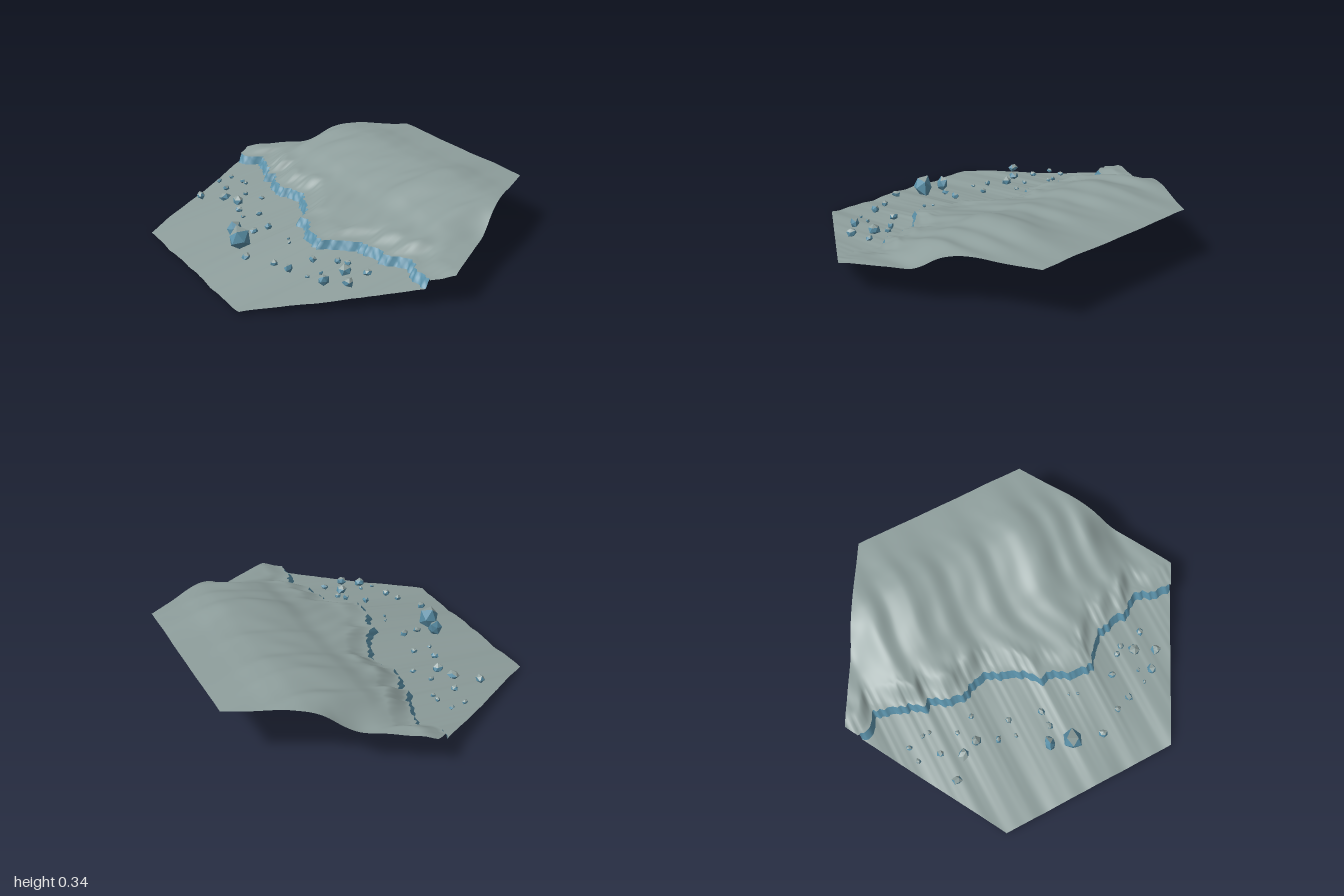
import * as THREE from 'three';

const stone = new THREE.MeshStandardMaterial({ color: 0x8e9e9c, side: THREE.DoubleSide });
stone.name = 'grey stone';
const ice = new THREE.MeshStandardMaterial({ color: 0x5a90a8, side: THREE.DoubleSide });
ice.name = 'blue cliff';

const { clamp, lerp, smoothstep } = THREE.MathUtils;

// Value at t of a list of [t, value] points, linear or as a smooth curve
function sample(points, t, smooth) {
  let i = 0;
  while (i < points.length - 2 && t > points[i + 1][0]) i++;
  const [t0, a] = points[i], [t1, b] = points[i + 1];
  const k = clamp((t - t0) / (t1 - t0), 0, 1);
  if (!smooth) return lerp(a, b, k);
  const slope = (j) => {
    const p = points[Math.max(j - 1, 0)], q = points[Math.min(j + 1, points.length - 1)];
    return (q[1] - p[1]) / (q[0] - p[0]);
  };
  const m0 = slope(i) * (t1 - t0), m1 = slope(i + 1) * (t1 - t0), k2 = k * k, k3 = k2 * k;
  return (2 * k3 - 3 * k2 + 1) * a + (k3 - 2 * k2 + k) * m0 + (3 * k2 - 2 * k3) * b + (k3 - k2) * m1;
}

// Cliff line seen from above: [z, x]
const cliffLine = [
  [-1, -0.09], [-0.95, -0.09], [-0.88, -0.07], [-0.83, 0.0], [-0.74, -0.03], [-0.65, -0.06],
  [-0.58, -0.105], [-0.55, -0.075], [-0.45, -0.13], [-0.37, -0.14], [-0.28, -0.1], [-0.23, -0.085],
  [-0.13, -0.13], [-0.02, -0.18], [0.035, -0.265], [0.08, -0.238], [0.2, -0.305], [0.32, -0.31],
  [0.385, -0.22], [0.45, -0.165], [0.51, -0.15], [0.58, -0.13], [0.635, -0.14], [0.725, -0.06],
  [0.82, -0.105], [0.93, -0.115], [1, -0.115],
];
// Hill profiles [x, y] across the middle and near the two points of the hexagon
const middleHill = [[-0.35, 0.15], [-0.2, 0.168], [0, 0.205], [0.1, 0.225], [0.2, 0.262], [0.35, 0.3],
  [0.5, 0.32], [0.6, 0.317], [0.7, 0.307], [0.87, 0.298]];
const endHill = [[-0.35, 0.15], [-0.1, 0.165], [0, 0.178], [0.1, 0.19], [0.2, 0.198], [0.3, 0.206],
  [0.38, 0.235], [0.46, 0.28], [0.55, 0.302], [0.87, 0.298]];
// Ridges running down the hill: [z, strength], and their strength along x
const ridges = [[-1, 0], [-0.75, -0.2], [-0.61, 0.1], [-0.53, -0.3], [-0.42, 0.6], [-0.35, 0.2],
  [-0.26, 0.1], [-0.16, -0.5], [0.01, -0.2], [0.1, -0.5], [0.2, 0.1], [0.32, 1], [0.42, 0.1],
  [0.49, 0.1], [0.57, -0.4], [0.65, -0.2], [0.74, -0.3], [1, 0]];
const ridgeReach = [[-0.2, 0], [0.02, 0.012], [0.25, 0.028], [0.5, 0.028], [0.7, 0.012], [0.87, 0.004]];
// Uneven knolls just behind the cliff: [z, strength]
const knolls = [[-1, 0], [-0.9, 0.7], [-0.82, -0.6], [-0.6, 0.8], [-0.52, -0.8], [-0.41, 0.7],
  [-0.34, -0.6], [-0.27, 0.8], [-0.18, -0.8], [0, 0.5], [0.1, -0.5], [0.31, 1], [0.42, -1],
  [0.53, 0.7], [0.6, -0.6], [0.67, 0.8], [0.75, -0.9], [0.88, 0.3], [1, 0]];

const halfWidth = (z) => Math.min(0.866, (1 - Math.abs(z)) * 1.732);
const cliffX = (z) => sample(cliffLine, z) + 0.009 * Math.sin(z * 95) * Math.sin(z * 37 + 1)
  + 0.004 * Math.sin(z * 171);
const footX = (z) => Math.max(cliffX(z) - 0.015, -halfWidth(z));
const topX = (z) => clamp(cliffX(z) + 0.015, -halfWidth(z), halfWidth(z));

// The lower ground climbs evenly to the foot of the cliff
function lowerY(x, z) {
  const climb = Math.min((x + 0.866) / (cliffX(z) + 0.851), 1);
  const waves = 0.004 * Math.cos(z * 11.5) + 0.003 * Math.sin(z * 27 + x) + 0.0015 * Math.sin(z * 52);
  return 0.013 + climb * 0.096 + waves * (1 - 0.75 * climb);
}

function upperY(x, z) {
  const d = x - cliffX(z) - 0.015;
  const rimY = lowerY(topX(z), z) + 0.044;
  const hill = lerp(sample(middleHill, x, true), sample(endHill, x, true), smoothstep(Math.abs(z), 0.62, 0.82))
    + sample(ridges, z + 0.015 * Math.sin(x * 9), true) * sample(ridgeReach, x, true);
  const folds = 0.0035 * Math.sin(z * 37 + 2 * Math.sin(x * 9)) * Math.sin(x * 8 + z * 13)
    * smoothstep(d, 0.05, 0.2) * smoothstep(0.8 - x, 0, 0.4);
  const lip = 0.012 * sample(knolls, z - 0.25 * (d - 0.08), true) * Math.exp(-(((d - 0.09) / 0.06) ** 2));
  return lerp(rimY, hill, smoothstep(d, -0.02, 0.13)) + folds + lip * smoothstep(d, 0, 0.04);
}

// Sheet of rows along z; point(u, z) returns [x, y]
function sheet(name, material, firstRow, lastRow, columns, point) {
  const positions = [], index = [], w = columns + 1;
  for (let r = firstRow; r <= lastRow; r++) {
    const z = -1 + r * 0.01;
    for (let c = 0; c <= columns; c++) {
      const [x, y] = point(c / columns, z);
      positions.push(x, y, z);
      if (r < lastRow && c < columns) {
        const a = (r - firstRow) * w + c;
        index.push(a, a + w, a + 1, a + 1, a + w, a + w + 1);
      }
    }
  }
  const geometry = new THREE.BufferGeometry();
  geometry.setAttribute('position', new THREE.Float32BufferAttribute(positions, 3));
  geometry.setIndex(index);
  geometry.computeVertexNormals();
  const mesh = new THREE.Mesh(geometry, material);
  mesh.name = name;
  return mesh;
}

// Rocks: [x, z, radius]
const rocks = [
  [-0.33, -0.74, 0.015], [-0.245, -0.75, 0.015], [-0.22, -0.66, 0.014], [-0.22, -0.62, 0.013],
  [-0.35, -0.62, 0.019], [-0.515, -0.605, 0.026], [-0.41, -0.515, 0.029], [-0.29, -0.49, 0.014],
  [-0.375, -0.425, 0.029], [-0.245, -0.385, 0.015], [-0.425, -0.315, 0.019], [-0.45, -0.222, 0.012],
  [-0.355, -0.217, 0.018], [-0.57, -0.085, 0.036], [-0.485, -0.04, 0.019], [-0.4, -0.04, 0.021],
  [-0.613, 0.027, 0.055], [-0.38, 0.135, 0.009], [-0.402, 0.18, 0.01], [-0.655, 0.19, 0.023],
  [-0.577, 0.325, 0.019], [-0.545, 0.41, 0.023], [-0.397, 0.395, 0.021], [-0.307, 0.48, 0.019],
  [-0.275, 0.52, 0.018], [-0.323, 0.575, 0.032], [-0.44, 0.535, 0.012], [-0.513, 0.53, 0.011],
  [-0.47, 0.6, 0.028], [-0.38, 0.68, 0.028], [-0.254, 0.655, 0.02],
];

// Chipped stone with grey upper faces and blue flanks
function makeRock([x, z, radius], n) {
  const geometry = new THREE.IcosahedronGeometry(1.06, 0);
  const p = geometry.attributes.position, v = new THREE.Vector3();
  for (let i = 0; i < p.count; i++) {
    v.fromBufferAttribute(p, i);
    const chip = 1 + 0.2 * Math.sin(v.x * 7.1 + v.y * 11.3 + v.z * 5.7 + n * 2.4);
    p.setXYZ(i, v.x * chip, v.y * chip, v.z * chip);
  }
  geometry.rotateX(n * 1.3);
  geometry.rotateY(n * 2.1);
  const tall = radius > 0.034 ? 1.1 : 0.85;
  geometry.scale(radius, radius * tall, radius * 0.9);
  geometry.computeVertexNormals();
  for (let i = 0; i < p.count; i += 3) {
    geometry.addGroup(i, 3, geometry.attributes.normal.getY(i) > 0.6 ? 0 : 1);
  }
  const rock = new THREE.Mesh(geometry, [stone, ice]);
  rock.name = 'rock';
  rock.position.set(x, radius > 0.034 ? 0.122 : 0.11, z);
  return rock;
}

export function createModel() {
  const model = new THREE.Group();
  model.name = 'hexagonal cliff terrain';

  // Gentle ground below the cliff
  model.add(sheet('lowerGround', stone, 5, 193, 24, (u, z) => {
    const x = lerp(-halfWidth(z), footX(z), u);
    return [x, lowerY(x, z)];
  }));
  // Rough cliff face between the two grounds
  model.add(sheet('cliffFace', ice, 5, 193, 4, (u, z) => {
    const foot = footX(z), top = topX(z);
    const rough = 0.003 * Math.sin(u * Math.PI) * Math.sin(z * 130 + u * 4);
    return [lerp(foot, top, u) + rough, lerp(lowerY(foot, z), upperY(top, z), u)];
  }));
  // Folded hill above the cliff
  model.add(sheet('upperHill', stone, 0, 200, 80, (u, z) => {
    const x = lerp(topX(z), halfWidth(z), u);
    return [x, upperY(x, z)];
  }));
  // Loose rocks in front of the cliff
  const scatter = new THREE.Group();
  scatter.name = 'rocks';
  rocks.forEach((r, n) => scatter.add(makeRock(r, n + 1)));
  model.add(scatter);
  return model;
}
